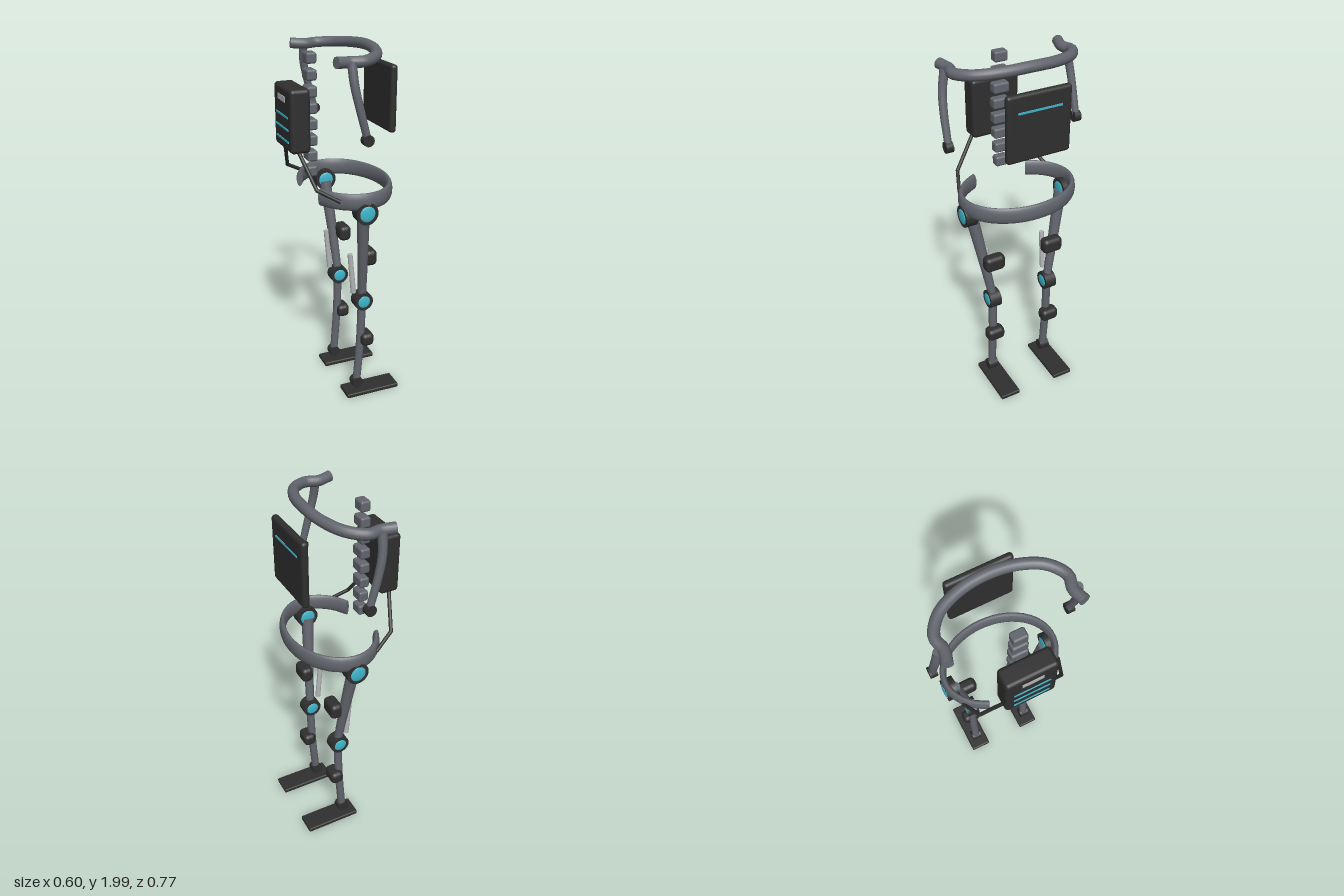
import * as THREE from 'three';
import { mergeGeometries } from 'three/addons/utils/BufferGeometryUtils.js';
import { RoundedBoxGeometry } from 'three/addons/geometries/RoundedBoxGeometry.js';

const material = (name, color) => {
  const m = new THREE.MeshStandardMaterial({ color });
  m.name = name;
  return m;
};

// Capped tube through points, tapering from radius r0 to r1
function taperedTube(points, r0, r1 = r0, segments = 16, sides = 14) {
  const path = new THREE.CatmullRomCurve3(points.map(p => new THREE.Vector3(...p)));
  const tube = new THREE.TubeGeometry(path, segments, 1, sides, false);
  const pos = tube.attributes.position;
  const v = new THREE.Vector3();
  for (let i = 0; i < pos.count; i++) {
    const t = Math.floor(i / (sides + 1)) / segments;
    const c = path.getPointAt(t);
    v.fromBufferAttribute(pos, i).sub(c).multiplyScalar(r0 + (r1 - r0) * t).add(c);
    pos.setXYZ(i, v.x, v.y, v.z);
  }
  const caps = [[0, r0, -1], [1, r1, 1]].map(([t, r, dir]) => {
    const cap = new THREE.CircleGeometry(r, sides);
    const out = path.getTangentAt(t).multiplyScalar(dir);
    cap.applyQuaternion(new THREE.Quaternion().setFromUnitVectors(new THREE.Vector3(0, 0, 1), out));
    const c = path.getPointAt(t);
    return cap.translate(c.x, c.y, c.z);
  });
  return mergeGeometries([tube, ...caps]);
}

export function createModel() {
  const model = new THREE.Group();
  model.name = 'exoskeleton';
  const frame = material('frame grey', 0x62656d);
  const dark = material('dark casing', 0x2f2f30);
  const glow = material('cyan accent', 0x3fb6ca);
  const metal = material('light metal', 0xb4b5b8);

  const add = (name, geometry, mat, x = 0, y = 0, z = 0, parent = model) => {
    const mesh = new THREE.Mesh(geometry, mat);
    mesh.name = name;
    mesh.position.set(x, y, z);
    parent.add(mesh);
    return mesh;
  };
  const box = (w, h, d, r) => new RoundedBoxGeometry(w, h, d, 3, r);
  const disc = (r, length) => new THREE.CylinderGeometry(r, r, length, 28).rotateX(Math.PI / 2);

  // Spine
  for (let i = 0; i < 8; i++) {
    const width = 0.075 + 0.019 * Math.sin(Math.PI * i / 7);
    add('vertebra', box(0.055, 0.057, width, 0.012), frame, -0.147, 1.333 + i * 0.084, 0);
  }

  // Back pack with label plate and light strips
  add('backPack', box(0.106, 0.325, 0.27, 0.02), dark, -0.243, 1.628, 0);
  add('packPlate', new THREE.BoxGeometry(0.008, 0.028, 0.11), metal, -0.296, 1.73, 0);
  for (const y of [1.645, 1.582, 1.52])
    add('packLight', new THREE.BoxGeometry(0.008, 0.01, 0.19), glow, -0.296, y, 0);

  // Chest plate
  add('chestPlate', box(0.038, 0.35, 0.352, 0.017), dark, 0.245, 1.71, 0);
  add('chestLight', new THREE.BoxGeometry(0.008, 0.01, 0.24), glow, 0.264, 1.795, 0);

  // Shoulder yoke, open at the back
  const half = [[-0.135, 1.945, 0.33], [-0.06, 1.94, 0.311], [0.005, 1.942, 0.325],
    [0.09, 1.95, 0.267], [0.145, 1.96, 0.15]];
  const flip = ([x, y, z]) => [x, y, -z];
  add('shoulderYoke', taperedTube([...half, [0.163, 1.967, 0], ...half.map(flip).reverse()],
    0.028, 0.028, 48, 16), frame);

  // Hip belt: an open ellipse with a tall oval section
  const arc = [];
  for (let i = 0; i <= 20; i++) {
    const a = THREE.MathUtils.degToRad(-149 + 298 * i / 20);
    arc.push([0.041 + 0.229 * Math.cos(a), 0, 0.31 * Math.sin(a)]);
  }
  add('hipBelt', taperedTube(arc, 0.0175, 0.0175, 40, 16).scale(1, 2.6, 1), frame, 0, 1.235, 0);

  for (const [s, side] of [[1, 'left'], [-1, 'right']]) {
    const half = new THREE.Group();
    half.name = side + 'Side';
    model.add(half);
    const place = (name, g, mat, x, y, z) => add(name, g, mat, x, y, z * s, half);
    const tube = (name, pts, mat, r0, r1) =>
      add(name, taperedTube(pts.map(([x, y, z]) => [x, y, z * s]), r0, r1), mat, 0, 0, 0, half);

    // Joint housing with a domed light on both faces
    const joint = (name, x, y, z, r, length, lightR) => {
      place(name, disc(r, length), dark, x, y, z);
      for (const f of [-1, 1])
        place(name + 'Light', new THREE.SphereGeometry(lightR, 24, 16).scale(1, 1, 0.2),
          glow, x, y, z + f * (length / 2 - 0.001));
    };

    // Arm and grip
    tube('arm', [[-0.06, 1.94, 0.337], [-0.053, 1.84, 0.355], [-0.03, 1.735, 0.364],
      [0.01, 1.585, 0.367]], frame, 0.023, 0.019);
    place('armEnd', disc(0.029, 0.038), dark, 0.012, 1.573, 0.368);

    // Cable from pack to belt
    const cable = [[-0.253, 1.48, 0.105], [-0.2, 1.3, 0.233], [-0.09, 1.238, 0.277]];
    for (let i = 0; i < 2; i++) tube('packStrut', [cable[i], cable[i + 1]], dark, 0.01, 0.01);
    place('strutElbow', new THREE.SphereGeometry(0.01, 12, 8), dark, ...cable[1]);

    // Leg
    joint('hipJoint', 0.04, 1.17, 0.293, 0.06, 0.065, 0.043);
    tube('thigh', [[0.038, 1.16, 0.272], [0.06, 0.9, 0.226], [0.08, 0.62, 0.178]], frame, 0.034, 0.023);
    joint('kneeJoint', 0.08, 0.6, 0.178, 0.053, 0.066, 0.036);
    tube('shin', [[0.08, 0.59, 0.178], [0.073, 0.35, 0.178], [0.053, 0.07, 0.178]], frame, 0.024, 0.023);
    place('ankleJoint', disc(0.032, 0.058), dark, 0.053, 0.07, 0.178);
    place('thighPad', box(0.07, 0.09, 0.118, 0.026), dark, 0.11, 0.87, 0.18);
    place('shinPad', box(0.075, 0.077, 0.106, 0.026), dark, 0.103, 0.357, 0.18);
    place('foot', box(0.322, 0.026, 0.12, 0.008), dark, 0.136, 0.013, 0.177);

    // Piston behind the thigh
    tube('piston', [[0.006, 0.892, 0.178], [0.028, 0.655, 0.178]], metal, 0.014, 0.015);
  }
  return model;
}
